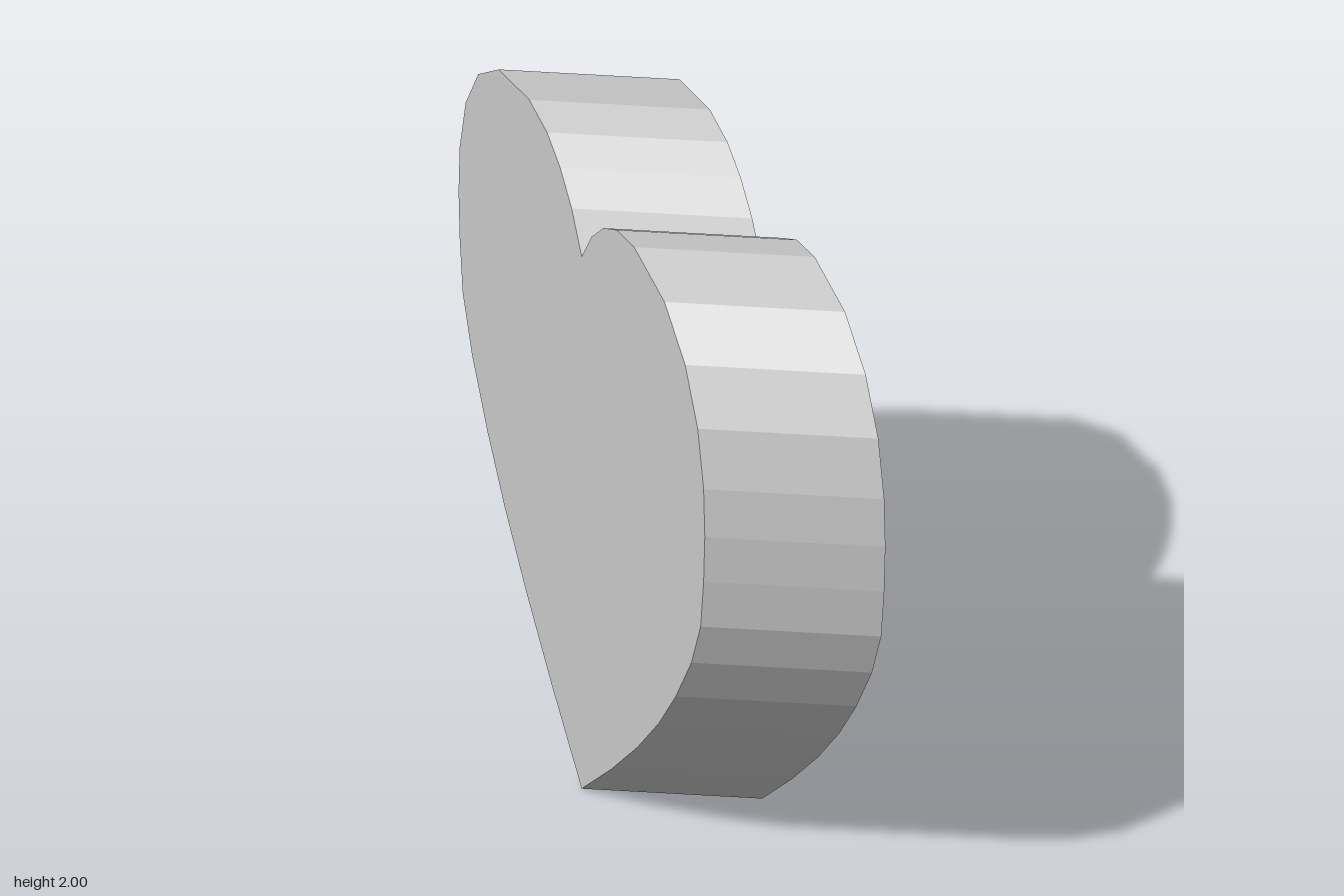
import * as THREE from 'three';

export function createModel() {
  const group = new THREE.Group();
  group.name = 'heart';

  // Right half of the outline, from the notch round to the tip
  const half = [
    [0, 1.73], [0.068, 1.84], [0.145, 1.92], [0.235, 1.975], [0.355, 2],
    [0.56, 1.96], [0.7, 1.85], [0.785, 1.7], [0.825, 1.53], [0.833, 1.38],
    [0.825, 1.23], [0.805, 1.07], [0.742, 0.91], [0.637, 0.73],
    [0.522, 0.565], [0.378, 0.39], [0.2, 0.198], [0, 0],
  ];
  const mirrored = half.slice(1, -1).reverse().map(([x, y]) => [-x, y]);
  const shape = new THREE.Shape([...half, ...mirrored].map(([x, y]) => new THREE.Vector2(x, y)));

  // Slab of unit depth, skewed so the faces turn and the sides run diagonally
  const geometry = new THREE.ExtrudeGeometry(shape, { depth: 1, bevelEnabled: false });
  geometry.translate(0, 0, -0.5);
  geometry.applyMatrix4(new THREE.Matrix4().set(
    1, 0, -0.334, 0,
    0, 1, 0, 0,
    0.288, 0, 0.349, 0,
    0, 0, 0, 1,
  ));

  const body = new THREE.Mesh(
    geometry,
    new THREE.MeshStandardMaterial({ color: 0xcccccc, flatShading: true }),
  );
  body.name = 'heartBody';
  group.add(body);
  return group;
}
